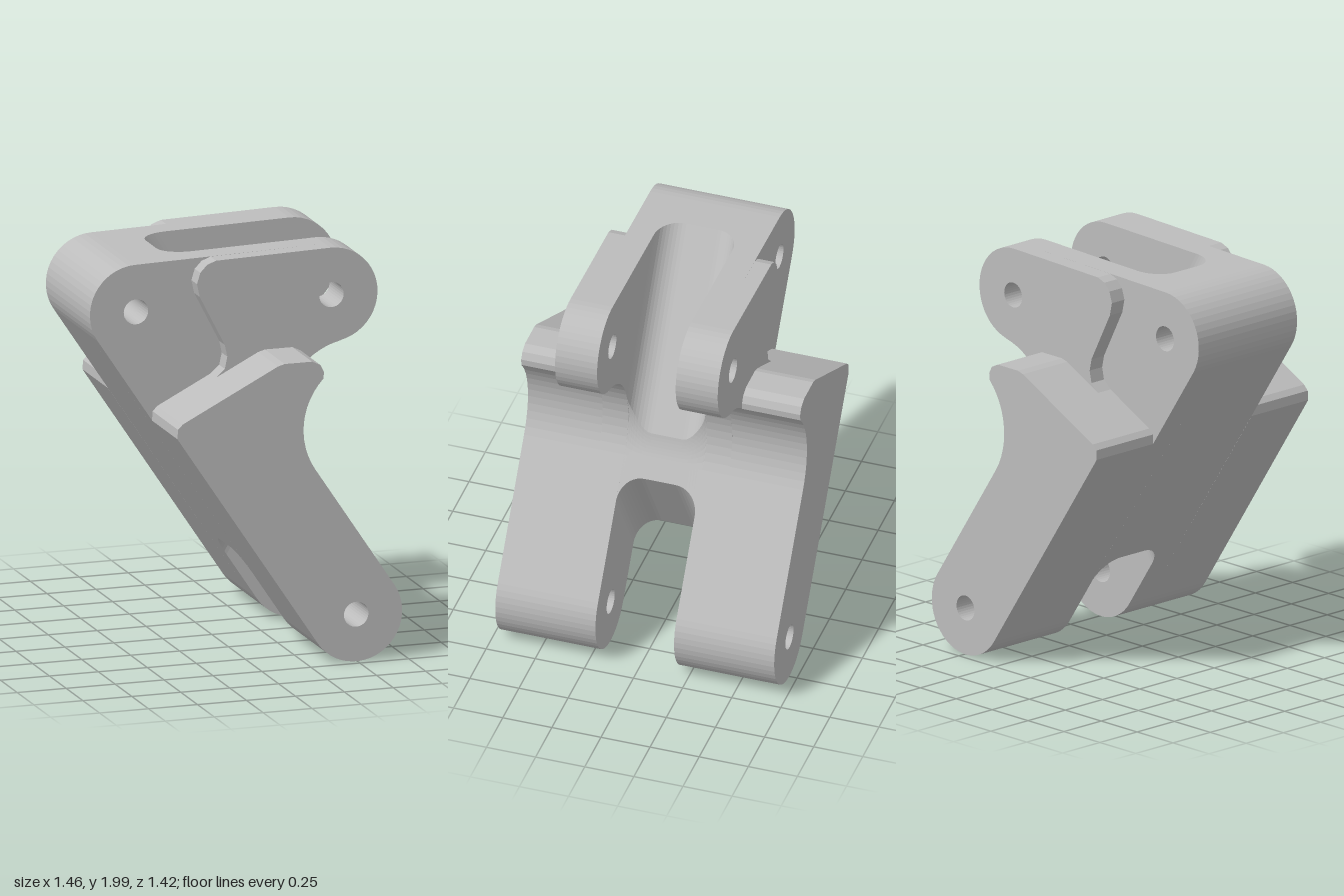
import * as THREE from 'three';

const V = (x, y) => new THREE.Vector2(x, y);
const DEG = Math.PI / 180;
const R = 0.235, HOLE = 0.0625;
const LEFT = V(-0.5, 1.74), RIGHT = V(0.47, 1.765), FOOT = V(0.495, 0.24);
const THROAT = V(0.586, 1.18), THROAT_R = 0.36;
const LEG_ANGLE = 33.6, TOP_ANGLE = 91.5, THROAT_END = 101.2;

// Points along an arc, angles in degrees
function arc(c, r, a0, a1, n) {
  return Array.from({ length: n + 1 }, (_, i) => {
    const a = (a0 + (a1 - a0) * i / n) * DEG;
    return V(c.x + r * Math.cos(a), c.y + r * Math.sin(a));
  });
}

// Intersection of two lines given by point and direction
function cross(p, d, q, e) {
  const t = q.clone().sub(p).cross(e) / d.cross(e);
  return p.clone().addScaledVector(d, t);
}

function plate(points, holes, z0, z1) {
  const shape = new THREE.Shape(points);
  for (const h of holes) shape.holes.push(new THREE.Path(arc(h, HOLE, 360, 0, 32).slice(0, -1)));
  const g = new THREE.ExtrudeGeometry(shape, { depth: z1 - z0, bevelEnabled: false });
  return g.translate(0, 0, z0);
}

// Outline of the middle web, with both slot walls pushed out by f
function webOutline(f) {
  const along = V(-Math.sin(LEG_ANGLE * DEG), Math.cos(LEG_ANGLE * DEG));
  const side = V(along.y, -along.x);
  const endDir = V(0.27, 0.445).normalize();
  const endPoint = V(0.07, 0.455).addScaledVector(V(endDir.y, -endDir.x), f);
  const wallDir = V(0.545, -0.88).normalize();
  const wallNormal = V(-wallDir.y, wallDir.x);
  const wallPoint = V(-0.31, 1.98).addScaledVector(wallNormal, f);
  const dist = wallPoint.clone().sub(THROAT).dot(wallNormal);
  const hit = wallNormal.clone().multiplyScalar(dist)
    .addScaledVector(wallDir, -Math.sqrt(THROAT_R ** 2 - dist ** 2));
  const hitAngle = Math.atan2(hit.y, hit.x) / DEG;
  const topStart = arc(LEFT, R, TOP_ANGLE, TOP_ANGLE, 1)[0];
  const topEnd = arc(RIGHT, R, TOP_ANGLE, TOP_ANGLE, 1)[0];
  return [
    cross(FOOT.clone().addScaledVector(side, -R), along, endPoint, endDir),
    cross(FOOT.clone().addScaledVector(side, R), along, endPoint, endDir),
    ...arc(THROAT, THROAT_R, 180 + LEG_ANGLE, hitAngle < 0 ? hitAngle + 360 : hitAngle, 8),
    cross(topStart, topEnd.clone().sub(topStart), wallPoint, wallDir),
    ...arc(LEFT, R, TOP_ANGLE, 180 + LEG_ANGLE, 16),
  ];
}

// Skin joining the web outlines from back to front, rounded in the slot corners
function webGeometry() {
  const half = [];
  for (let i = 0; i <= 10; i++) {
    const t = i / 10 * Math.PI / 2;
    half.push({ z: 0.08 + 0.12 * Math.sin(t), f: 0.12 * (1 - Math.cos(t)) });
  }
  const levels = [...half.map(({ z, f }) => ({ z: -z, f })).reverse(), ...half];
  const loops = levels.map(({ z, f }) => webOutline(f).map(p => [p.x, p.y, z]));
  const pos = [];
  for (let k = 0; k + 1 < loops.length; k++) {
    const n = loops[k].length;
    for (let i = 0; i < n; i++) {
      const j = (i + 1) % n;
      const a = loops[k][i], b = loops[k][j], c = loops[k + 1][j], d = loops[k + 1][i];
      pos.push(...a, ...b, ...c, ...a, ...c, ...d);
    }
  }
  const g = new THREE.BufferGeometry();
  g.setAttribute('position', new THREE.Float32BufferAttribute(pos, 3));
  g.computeVertexNormals();
  return g;
}

export function createModel() {
  const group = new THREE.Group();
  const grey = new THREE.MeshStandardMaterial({ color: 0xbcbcbc });
  grey.name = 'grey metal';
  const add = (name, geometry) => {
    const m = new THREE.Mesh(geometry, grey);
    m.name = name;
    group.add(m);
  };

  const foot = arc(FOOT, R, LEG_ANGLE - 180, LEG_ANGLE, 24);
  const rightBoss = arc(RIGHT, R, THROAT_END - 180, TOP_ANGLE, 22);

  // Whole bracket outline
  const body = [
    ...foot,
    ...arc(THROAT, THROAT_R, 180 + LEG_ANGLE, THROAT_END, 16),
    ...rightBoss,
    ...arc(LEFT, R, TOP_ANGLE, 180 + LEG_ANGLE, 16),
  ];
  // Fork arm outline
  const arm = [
    ...arc(THROAT, THROAT_R, 150, THROAT_END, 8),
    ...rightBoss,
    V(-0.12, 1.984), V(-0.165, 1.967), V(-0.2, 1.93), V(-0.217, 1.875), V(-0.203, 1.81),
    V(-0.075, 1.56), V(-0.062, 1.5), V(-0.075, 1.44), V(-0.12, 1.4), V(0, 1.2),
  ];
  // Wide leg outline
  const leg = [
    ...foot,
    ...arc(THROAT, THROAT_R, 180 + LEG_ANGLE, 135.7, 12),
    V(0.33, 1.465), V(0.312, 1.5), V(0.27, 1.52), V(0.13, 1.52), V(0.095, 1.51),
    V(-0.39, 1.262), V(-0.415, 1.237), V(-0.418, 1.19),
  ];

  for (const [label, s] of [['front', 1], ['back', -1]]) {
    const layer = (points, holes, near, far) =>
      plate(points, holes, Math.min(s * near, s * far), Math.max(s * near, s * far));
    add(label + 'Body', layer(body, [LEFT, RIGHT, FOOT], 0.2, 0.33));
    add(label + 'ForkArm', layer(arm, [RIGHT], 0.33, 0.414));
    add(label + 'Leg', layer(leg, [FOOT], 0.33, 0.71));
  }

  // Middle web between the two slots, and the pin bore through it
  add('middleWeb', webGeometry());
  const bore = new THREE.LatheGeometry([V(HOLE, 0.2), V(HOLE, -0.2)], 32);
  bore.rotateX(Math.PI / 2).translate(LEFT.x, LEFT.y, 0);
  add('pinBore', bore);
  return group;
}
